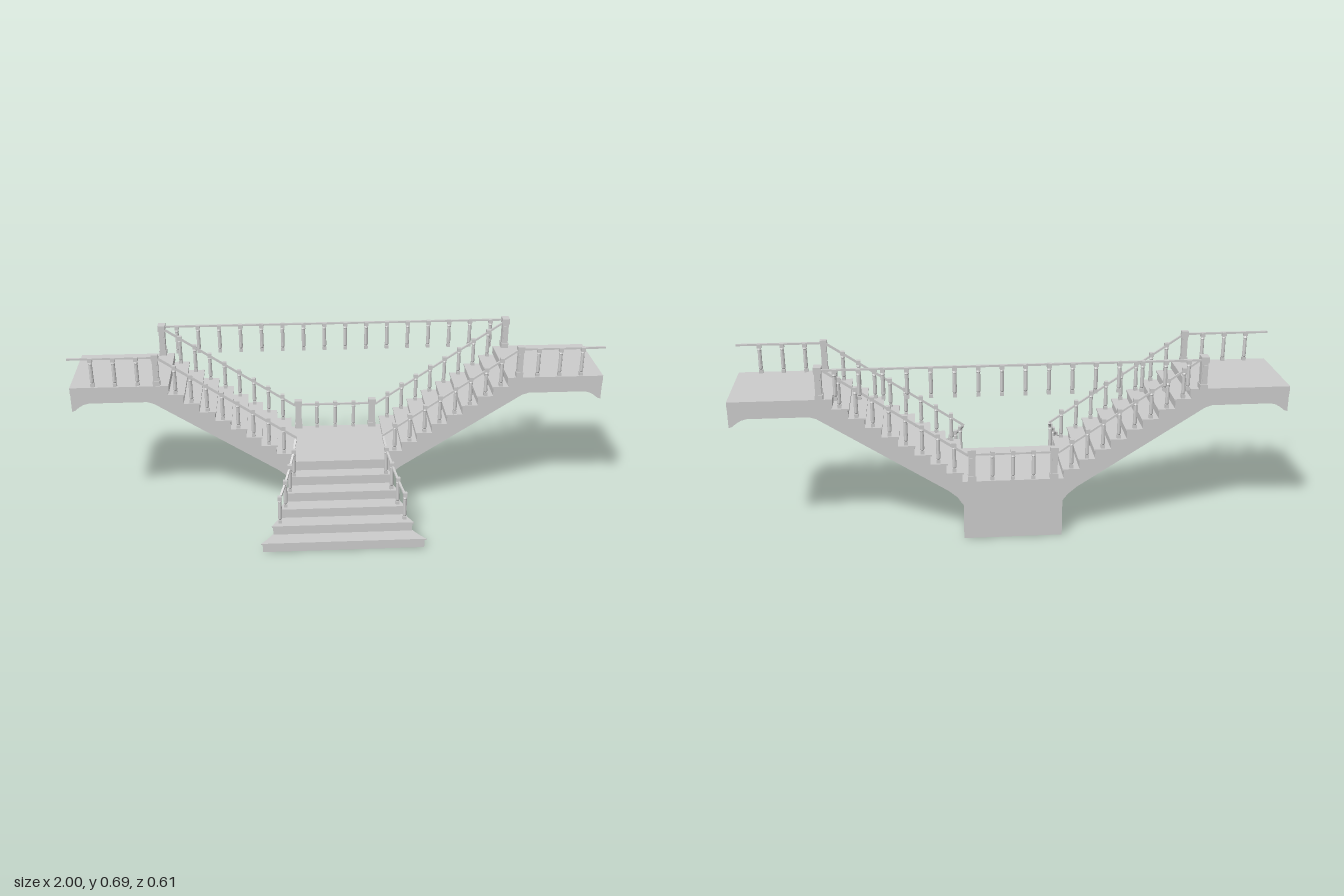
import * as THREE from 'three';

const mat = new THREE.MeshStandardMaterial({ color: 0xcccccc, flatShading: true, side: THREE.DoubleSide });
const BACK = -0.285, FRONT = 0.025, LANDING = 0.23, DECK = 0.565;
const RISE = (DECK - LANDING) / 9, RUN = 0.057, FOOT = 0.185;

// Half width of the base at depth z: [z, halfWidth], front to back
const FLARE = [[0.305, 0.305], [0.275, 0.282], [0.247, 0.264], [0.19, 0.237], [0.135, 0.215],
  [0.078, 0.196], [0.025, 0.182], [-0.02, 0.168], [-0.24, 0.168], [BACK, 0.182]];

function flare(z) {
  for (let i = 1; i < FLARE.length; i++) {
    const [z0, w0] = FLARE[i - 1], [z1, w1] = FLARE[i];
    if (z >= z1) return w0 + (w1 - w0) * (z - z0) / (z1 - z0);
  }
  return FLARE.at(-1)[1];
}

function add(parent, geometry, name, x = 0, y = 0, z = 0) {
  const mesh = new THREE.Mesh(geometry, mat);
  mesh.name = name;
  mesh.position.set(x, y, z);
  parent.add(mesh);
  return mesh;
}

const box = (parent, name, w, h, d, x, y, z) =>
  add(parent, new THREE.BoxGeometry(w, h, d), name, x, y + h / 2, z);

// Horizontal slab following the flared outline from zFront to zEnd
function flaredSlab(parent, name, zFront, zEnd, y, h, lip) {
  const zs = [zFront, ...FLARE.map(p => p[0]).filter(z => z < zFront - 1e-4 && z > zEnd + 1e-4), zEnd];
  const side = zs.map(z => [flare(z) + lip, z]);
  const outline = [...side, ...side.map(([x, z]) => [-x, z]).reverse()];
  const shape = new THREE.Shape(outline.map(([x, z]) => new THREE.Vector2(x, -z)));
  const geometry = new THREE.ExtrudeGeometry(shape, { depth: h, bevelEnabled: false });
  geometry.rotateX(-Math.PI / 2);
  add(parent, geometry, name, 0, y, 0);
}

// Turned baluster with a square foot and cap
const shaftGeometry = new THREE.LatheGeometry([[0.004, 0.012], [0.0075, 0.019], [0.0068, 0.088],
  [0.008, 0.091], [0.0045, 0.098]].map(p => new THREE.Vector2(...p)), 8);
const footGeometry = new THREE.BoxGeometry(0.014, 0.014, 0.014);
const capGeometry = new THREE.BoxGeometry(0.016, 0.016, 0.016);
function baluster(parent, x, y, z) {
  const g = new THREE.Group();
  g.name = 'baluster';
  add(g, footGeometry, 'balusterFoot', 0, 0.007, 0);
  add(g, shaftGeometry, 'balusterShaft');
  add(g, capGeometry, 'balusterCap', 0, 0.106, 0);
  g.position.set(x, y, z);
  parent.add(g);
}

// Square newel post with plinth, recessed shaft and cap
function newel(parent, x, y, z, w, d) {
  const g = new THREE.Group();
  g.name = 'newelPost';
  box(g, 'newelPlinth', w, 0.02, d, 0, 0, 0);
  box(g, 'newelShaft', w * 0.82, 0.08, d * 0.82, 0, 0.02, 0);
  box(g, 'newelPanel', w * 0.55, 0.066, d * 0.92, 0, 0.027, 0);
  box(g, 'newelCap', w, 0.023, d, 0, 0.1, 0);
  g.position.set(x, y, z);
  parent.add(g);
}

// Straight handrail between two points
function rail(parent, a, b) {
  const p = new THREE.Vector3(...a), q = new THREE.Vector3(...b);
  const mesh = add(parent, new THREE.BoxGeometry(0.008, 0.007, p.distanceTo(q)), 'handrail');
  mesh.position.copy(p).lerp(q, 0.5);
  mesh.lookAt(q);
}

export function createModel() {
  const model = new THREE.Group();
  model.name = 'doubleStaircase';

  // Flared lower stair and the base under the landing
  const fronts = [0.305, 0.247, 0.19, 0.135, 0.078, 0.025];
  const h = LANDING / 6;
  fronts.forEach((z, i) => {
    flaredSlab(model, 'lowerStep', z - 0.003, BACK, i * h, h, 0);
    if (i < 5) flaredSlab(model, 'lowerTread', z + 0.001, fronts[i + 1] - 0.004, (i + 1) * h - 0.005, 0.0055, 0.003);
  });

  for (const s of [1, -1]) {
    // Side flight and upper deck as one profile
    const pts = [[0, LANDING]];
    for (let k = 0; k < 9; k++) {
      pts.push([FOOT + k * RUN, LANDING + k * RISE], [FOOT + k * RUN, LANDING + (k + 1) * RISE]);
    }
    pts.push([1, DECK], [1, 0.468], [0.988, 0.472], [0.972, 0.485], [0.955, 0.495], [0.935, 0.5],
      [0.72, 0.5], [0.695, 0.492], [0.235, 0.195], [0.2, 0.165], [0.178, 0.135], [0.168, 0.105], [0, 0.105]);
    const shape = new THREE.Shape(pts.map(([x, y]) => new THREE.Vector2(s * x, y)));
    add(model, new THREE.ExtrudeGeometry(shape, { depth: FRONT - BACK, bevelEnabled: false }),
      'sideFlight', 0, 0, BACK);

    // Treads with a small overhang, and the deck edge
    const depth = FRONT - BACK + 0.008, mid = (FRONT + BACK) / 2;
    for (let k = 0; k < 8; k++) {
      box(model, 'sideTread', RUN + 0.005, 0.006, depth,
        s * (FOOT + (k + 0.5) * RUN - 0.0025), LANDING + (k + 1) * RISE - 0.0055, mid);
    }
    box(model, 'deckEdge', 0.364, 0.03, depth, s * 0.818, DECK - 0.0295, mid);

    // Flight balusters and rails, front and back
    for (const z of [0.017, -0.275]) {
      for (let k = 0; k < 8; k++) {
        baluster(model, s * (FOOT + (k + 0.5) * RUN), LANDING + (k + 1) * RISE, z);
      }
      rail(model, [s * 0.165, 0.33, z], [s * 0.68, 0.678, z]);
    }

    // Newel posts
    newel(model, s * 0.68, DECK, 0.017, 0.026, 0.022);
    newel(model, s * 0.68, DECK, -0.284, 0.028, 0.038);
    newel(model, s * 0.15, LANDING, -0.275, 0.03, 0.024);

    // Front rail of the upper deck
    for (const x of [0.75, 0.833, 0.916]) baluster(model, s * x, DECK, 0.017);
    rail(model, [s * 0.68, 0.676, 0.017], [s * 1, 0.676, 0.017]);

    // Rail beside the lower stair
    const railPoints = [0.22, 0.17, 0.12, 0.068].map((z, i) => {
      const x = s * (flare(z) - 0.016), y = (i + 2) * h;
      baluster(model, x, y, z);
      return [x, y + 0.102, z];
    });
    railPoints.push([s * 0.168, 0.328, 0.017]);
    for (let i = 1; i < railPoints.length; i++) rail(model, railPoints[i - 1], railPoints[i]);
  }

  // Back rail of the landing
  for (const x of [-0.075, 0, 0.075]) baluster(model, x, LANDING, -0.275);
  rail(model, [-0.15, 0.333, -0.275], [0.15, 0.333, -0.275]);

  // High back rail spanning between the upper decks
  for (let i = 0; i < 16; i++) baluster(model, (i - 7.5) * 0.083, DECK, -0.295);
  rail(model, [-0.68, 0.676, -0.295], [0.68, 0.676, -0.295]);

  return model;
}
